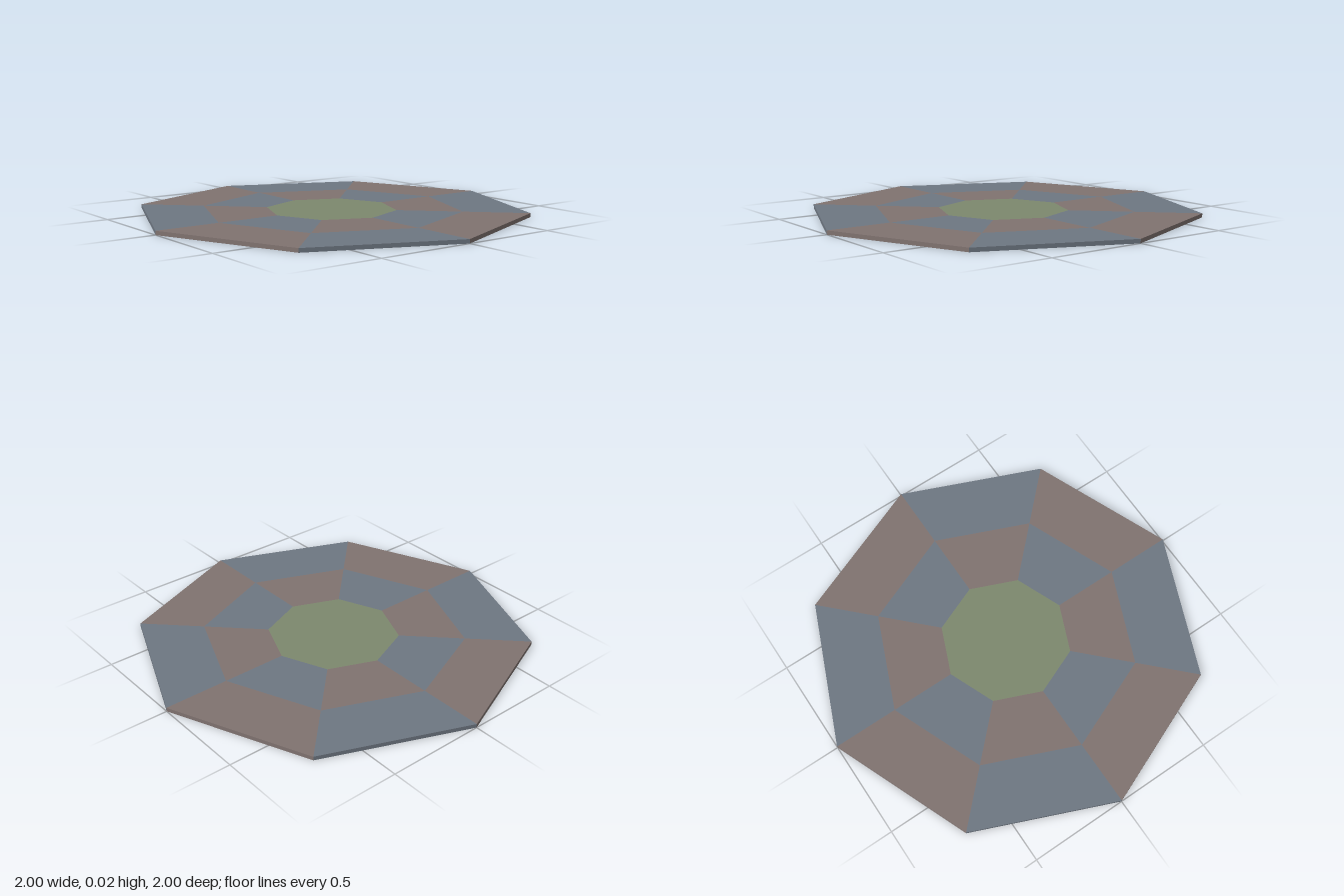
import * as THREE from 'three';

const SIDES = 8;
const THICKNESS = 0.02;
const RADII = { centre: 1 / 3, middle: 2 / 3, rim: 1 };

const makeMaterial = (name, color) => {
  const material = new THREE.MeshStandardMaterial({ color });
  material.name = name;
  return material;
};

// Corner of the octagon at a given radius, corner 0 on +x
const corner = (radius, i) => {
  const a = (i / SIDES) * Math.PI * 2;
  return new THREE.Vector2(Math.cos(a) * radius, Math.sin(a) * radius);
};

// Flat slab standing on y = 0, from an outline in x and z
function slab(name, outline, material) {
  const geometry = new THREE.ExtrudeGeometry(new THREE.Shape(outline), {
    depth: THICKNESS,
    bevelEnabled: false,
  });
  geometry.rotateX(Math.PI / 2).translate(0, THICKNESS, 0);
  const mesh = new THREE.Mesh(geometry, material);
  mesh.name = name;
  return mesh;
}

// Ring of tiles in alternating colours
function tileRing(name, inner, outer, materials) {
  const ring = new THREE.Group();
  ring.name = name;
  for (let i = 0; i < SIDES; i++) {
    const outline = [corner(inner, i), corner(outer, i), corner(outer, i + 1), corner(inner, i + 1)];
    ring.add(slab(`${name}Tile${i + 1}`, outline, materials[i % 2]));
  }
  return ring;
}

export function createModel() {
  const blue = makeMaterial('slateBlue', 0x6e7782);
  const brown = makeMaterial('dustyBrown', 0x807370);
  const green = makeMaterial('mossGreen', 0x7d886e);

  const model = new THREE.Group();
  model.name = 'octagonalPlatform';

  // Central octagon
  const centre = Array.from({ length: SIDES }, (_, i) => corner(RADII.centre, i));
  model.add(slab('centrePlate', centre, green));

  // Two rings with opposite colour order make a checker pattern
  model.add(tileRing('innerRing', RADII.centre, RADII.middle, [brown, blue]));
  model.add(tileRing('outerRing', RADII.middle, RADII.rim, [blue, brown]));
  return model;
}
